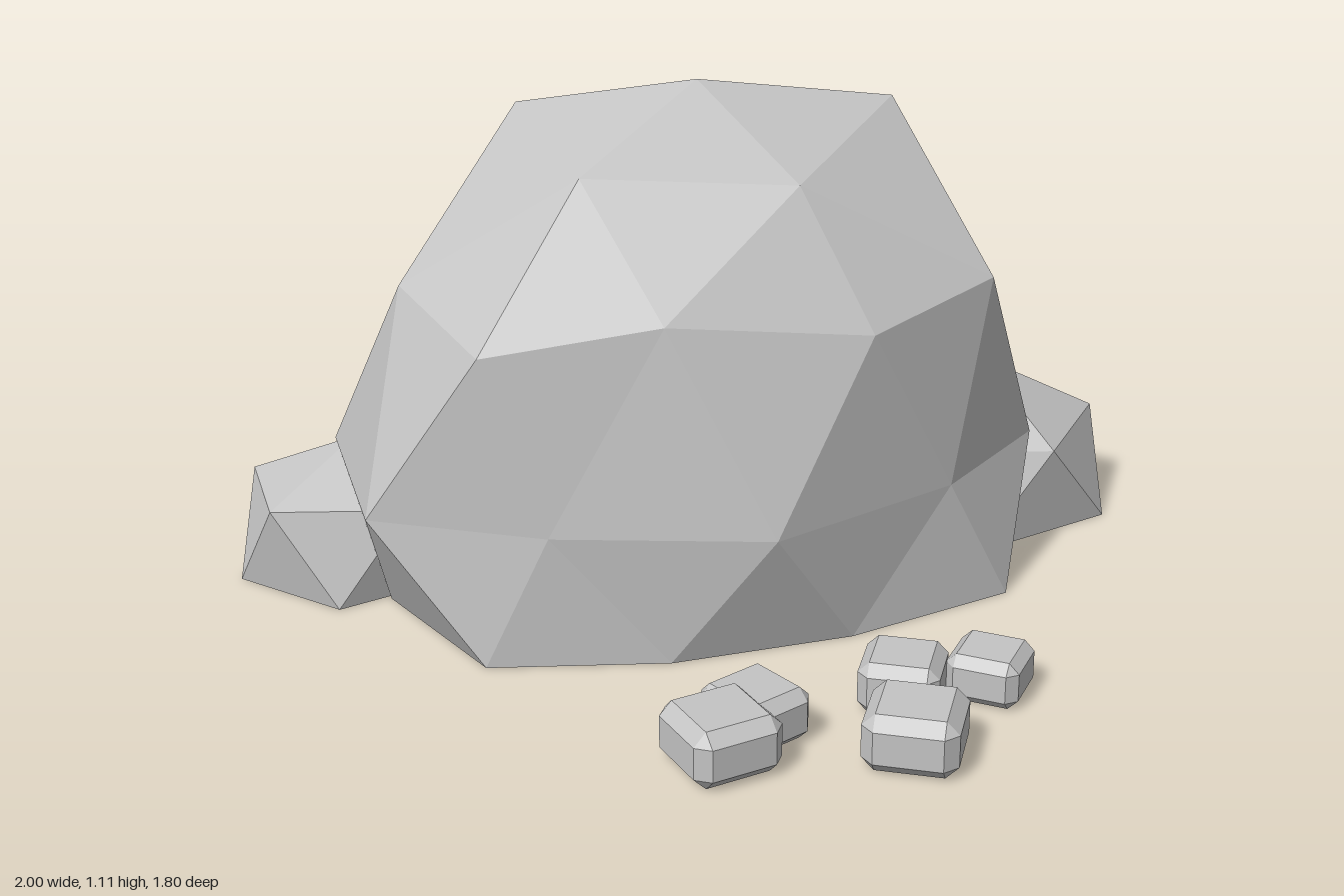
import * as THREE from 'three';
import { ConvexGeometry } from 'three/addons/geometries/ConvexGeometry.js';

const stone = new THREE.MeshStandardMaterial({ color: 0xc4c4c4, flatShading: true });
stone.name = 'light grey stone';

// Flat-shaded geometry from triangles of [x, y, z] corners
function facets(tris) {
  const g = new THREE.BufferGeometry();
  g.setAttribute('position', new THREE.Float32BufferAttribute(tris.flat(2), 3));
  g.computeVertexNormals();
  return g;
}

// Zigzag band between two equal rings; shift = 0 when the lower ring is half a step ahead, 1 when behind
function band(tris, upper, lower, shift) {
  const n = upper.length;
  for (let k = 0; k < n; k++) {
    const next = lower[(k + shift) % n], prev = lower[(k + shift - 1 + n) % n];
    tris.push([upper[k], next, prev], [upper[k], upper[(k + 1) % n], next]);
  }
}

// Fan to a point, facing up or down
function fan(tris, apex, ring, up) {
  ring.forEach((p, k) => {
    const q = ring[(k + 1) % ring.length];
    tris.push(up ? [apex, q, p] : [apex, p, q]);
  });
}

function add(group, name, geometry) {
  const mesh = new THREE.Mesh(geometry, stone);
  mesh.name = name;
  group.add(mesh);
  return mesh;
}

// Large boulder: a faceted dome with uneven rings, flattened on the ground
function boulderGeometry() {
  const top = [0, 1.11, -0.175];
  const crown = [[0.44, 1.04, -0.175], [0.12, 0.96, 0.145], [-0.31, 0.98, 0.03], [-0.34, 1.03, -0.4], [0.12, 0.97, -0.5]];
  const shoulder = [
    [0.66, 0.64, -0.175], [0.54, 0.73, 0.175], [0.23, 0.68, 0.3], [-0.2, 0.73, 0.26], [-0.56, 0.67, 0.165],
    [-0.65, 0.72, -0.175], [-0.53, 0.68, -0.51], [-0.2, 0.71, -0.73], [0.2, 0.66, -0.74], [0.52, 0.71, -0.51]];
  const waist = [
    [0.71, 0.3, 0.025], [0.44, 0.29, 0.225], [0, 0.29, 0.38], [-0.44, 0.29, 0.23], [-0.78, 0.3, 0.05],
    [-0.77, 0.3, -0.4], [-0.43, 0.29, -0.71], [0, 0.29, -0.9], [0.45, 0.29, -0.7], [0.74, 0.3, -0.38]];
  const foot = [
    [0.63, 0, -0.175], [0.59, 0, 0.2], [0.2, 0, 0.29], [-0.2, 0, 0.29], [-0.57, 0, 0.195],
    [-0.7, 0, -0.175], [-0.56, 0, -0.54], [-0.2, 0, -0.74], [0.2, 0, -0.74], [0.56, 0, -0.54]];
  const tris = [];
  fan(tris, top, crown, true);
  crown.forEach((c, j) => {
    const at = i => shoulder[(2 * j + i + 10) % 10];
    tris.push([c, at(0), at(-1)], [c, at(1), at(0)], [c, crown[(j + 1) % 5], at(1)]);
  });
  band(tris, shoulder, waist, 0);
  band(tris, waist, foot, 1);
  fan(tris, [0, 0, -0.2], foot, false);
  return facets(tris);
}

// Side rock: five-sided faceted lump with a flat base, narrower from front to back
function rockGeometry(x, z, height, ringHeight, radius, baseRadius) {
  const ring = (r, y, offset) => Array.from({ length: 5 }, (_, k) => {
    const a = (k + offset) * Math.PI * 0.4;
    return [x + r * Math.cos(a), y, z + r * Math.sin(a) * 0.85];
  });
  const upper = ring(radius, ringHeight, 0), base = ring(baseRadius, 0, 0.5);
  const tris = [];
  fan(tris, [x, height, z], upper, true);
  band(tris, upper, base, 0);
  fan(tris, [x, 0, z], base, false);
  return facets(tris);
}

// Pebble: box with every edge and corner chamfered
function pebbleGeometry(w, h, d, c) {
  const points = [], half = [w / 2, h / 2, d / 2];
  for (const sx of [-1, 1]) for (const sy of [-1, 1]) for (const sz of [-1, 1]) {
    for (let axis = 0; axis < 3; axis++) {
      const p = half.map((v, i) => (i === axis ? v : v - c));
      points.push(new THREE.Vector3(p[0] * sx, p[1] * sy, p[2] * sz));
    }
  }
  return new ConvexGeometry(points);
}

export function createModel() {
  const model = new THREE.Group();
  model.name = 'boulderCluster';

  add(model, 'boulder', boulderGeometry());
  add(model, 'leftRock', rockGeometry(0.71, -0.265, 0.37, 0.215, 0.29, 0.32));
  add(model, 'rightRock', rockGeometry(-0.735, -0.37, 0.31, 0.21, 0.255, 0.265));

  // Pebbles: x, z, width, height, turn
  const pebbles = [
    [-0.222, 0.7, 0.192, 0.122, 0.2],
    [-0.128, 0.62, 0.172, 0.112, 0.4],
    [0.143, 0.787, 0.19, 0.122, -0.53],
    [0.198, 0.58, 0.165, 0.112, -0.53],
    [0.38, 0.595, 0.152, 0.102, -0.7]];
  pebbles.forEach(([x, z, size, h, turn], i) => {
    const pebble = add(model, 'pebble' + (i + 1), pebbleGeometry(size, h, size, size * 0.14));
    pebble.position.set(x, h / 2, z);
    pebble.rotation.y = turn;
  });
  return model;
}
